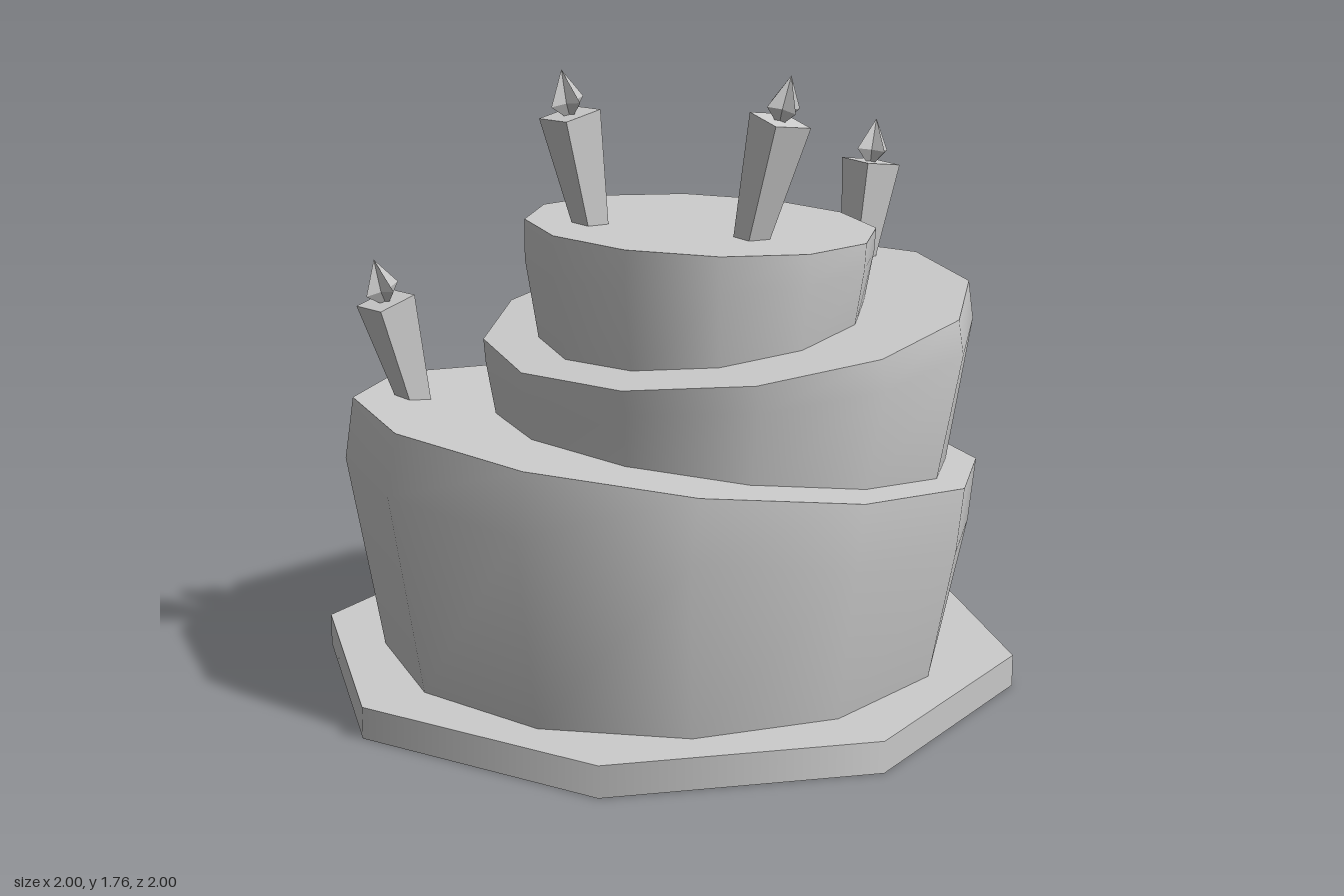
import * as THREE from 'three';
import { toCreasedNormals } from 'three/addons/utils/BufferGeometryUtils.js';

const icing = new THREE.MeshStandardMaterial({ color: 0xcccccc });
icing.name = 'plain grey';

function addMesh(parent, name, geometry) {
  const mesh = new THREE.Mesh(geometry, icing);
  mesh.name = name;
  parent.add(mesh);
  return mesh;
}

// Cylinder with three rings (bottom, middle, top), each vertex placed by a rule.
function ringSolid(sides, rule, creaseAngle) {
  const geo = new THREE.CylinderGeometry(1, 1, 2, sides, 2);
  const pos = geo.attributes.position;
  for (let i = 0; i < pos.count; i++) {
    const ring = Math.round(pos.getY(i)) + 1;
    pos.setXYZ(i, ...rule(ring, pos.getX(i), pos.getZ(i)));
  }
  return toCreasedNormals(geo, creaseAngle);
}

// Rings: centre x, radius, height at x = 0, slope along x.
function tier(rings, cz) {
  return ringSolid(12, (k, ux, uz) => {
    const [cx, r, h, slope] = rings[k];
    const x = cx + ux * r;
    return [x, h + slope * x, cz + uz * r];
  }, Math.PI / 3);
}

// Four-pointed flame, widest just above its foot.
function flameGeometry() {
  const radii = [0.02, 0.056, 0.0001], heights = [0, 0.035, 0.125];
  return ringSolid(8, (k, ux, uz) => {
    const onDiagonal = Math.abs(ux * uz) > 0.3;
    const r = radii[k] * (onDiagonal ? 0.4 : 1);
    return [ux * r, heights[k], uz * r];
  }, 0.1);
}

// Square candle, wider at the top, leaning from its base to its tip.
function candle(base, top, turn) {
  const group = new THREE.Group();
  group.name = 'candle';
  const from = new THREE.Vector3(...base);
  const axis = new THREE.Vector3(...top).sub(from);
  const h = axis.length();
  const stick = new THREE.CylinderGeometry(0.06 * Math.SQRT2, 0.033 * Math.SQRT2, h + 0.02, 4);
  stick.rotateY(Math.PI / 4);
  stick.translate(0, h / 2 - 0.01, 0);
  addMesh(group, 'candleStick', toCreasedNormals(stick, 0.1));
  addMesh(group, 'flame', flameGeometry()).position.y = h;
  group.position.copy(from);
  group.quaternion.setFromUnitVectors(new THREE.Vector3(0, 1, 0), axis.normalize());
  group.rotateY(turn);
  return group;
}

export function createModel() {
  const cake = new THREE.Group();
  cake.name = 'tieredCake';

  // Octagonal board
  const board = new THREE.CylinderGeometry(1, 1, 0.09, 8);
  board.translate(0, 0.045, 0);
  addMesh(cake, 'board', board);

  // Three tilted tiers
  addMesh(cake, 'bottomTier', tier([
    [0, 0.805, 0.09, 0], [-0.016, 0.889, 0.53, -0.15], [0.011, 0.888, 0.71, -0.146],
  ], 0));
  addMesh(cake, 'middleTier', tier([
    [0.13, 0.637, 0.68, -0.145], [0.155, 0.69, 0.955, 0.08], [0.143, 0.685, 1.039, 0.117],
  ], 0.1));
  addMesh(cake, 'topTier', tier([
    [0.055, 0.452, 1.01, 0.117], [0.049, 0.487, 1.225, 0.005], [0.052, 0.489, 1.316, -0.051],
  ], 0.1));

  // Leaning candles: base, top, turn about own axis
  const candles = [
    [[-0.235, 1.32, -0.02], [-0.295, 1.635, -0.03], 0.09],
    [[0.048, 1.31, 0.335], [0.094, 1.64, 0.4], 0],
    [[0.69, 1.11, 0], [0.733, 1.4, 0], 0],
    [[-0.567, 0.79, -0.435], [-0.648, 1.085, -0.44], 0.09],
  ];
  for (const [base, top, turn] of candles) cake.add(candle(base, top, turn));

  return cake;
}
